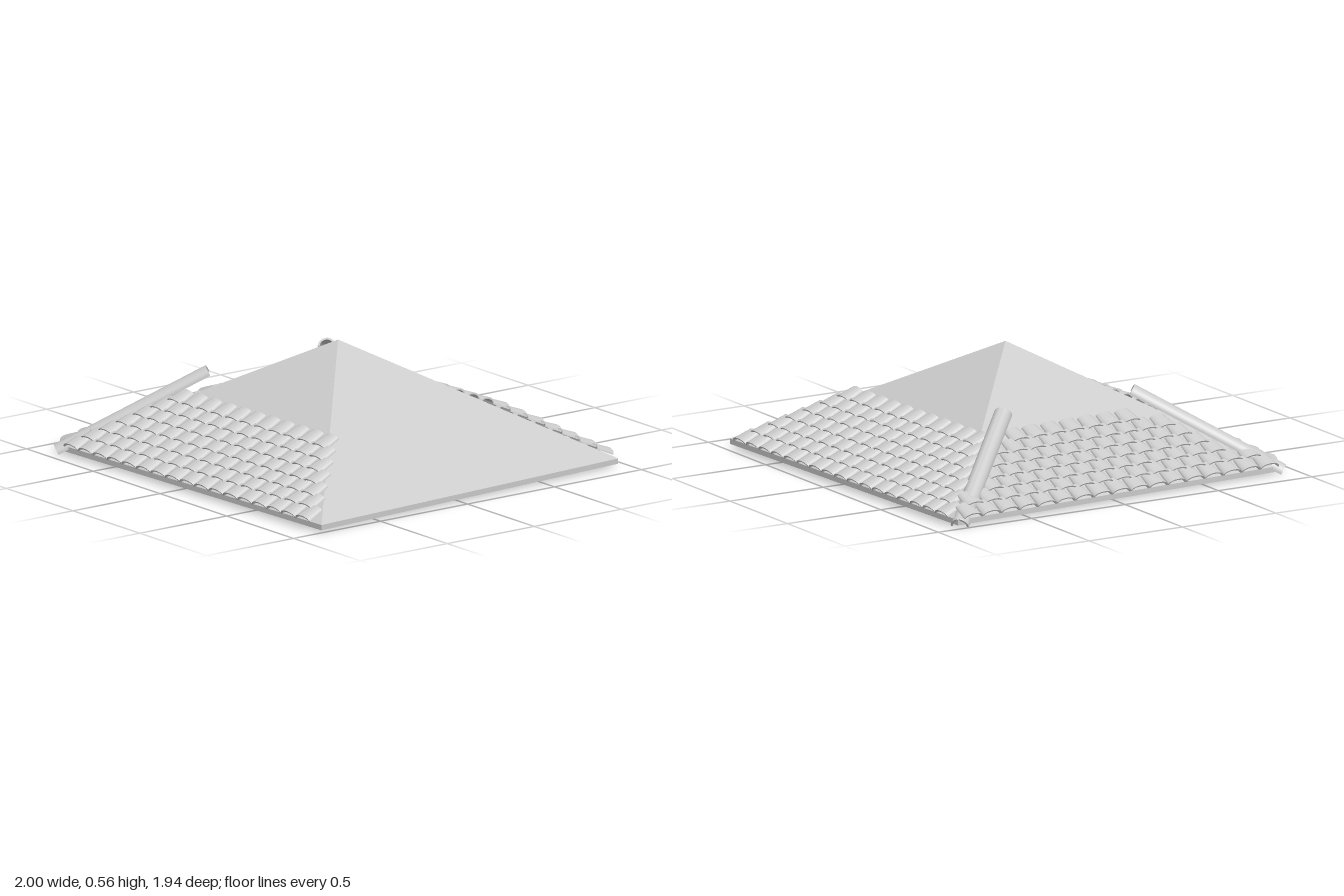
import * as THREE from 'three';
import { mergeGeometries, toCreasedNormals } from 'three/addons/utils/BufferGeometryUtils.js';

const V = (x, y, z) => new THREE.Vector3(x, y, z);
const material = new THREE.MeshStandardMaterial({ color: 0xcccccc, side: THREE.DoubleSide });

const EAVE = 0.04;
const APEX = V(0, 0.565, -0.024);
// Base corners of the slightly turned roof: front left, front right, back right, back left as seen from above
const CORNERS = [[-0.87, 0.915], [0.997, 0.837], [0.885, -0.955], [-0.975, -0.88]];
const corner = (i) => V(CORNERS[i][0], EAVE, CORNERS[i][1]);

function addMesh(group, name, geometry) {
  const mesh = new THREE.Mesh(geometry, material);
  mesh.name = name;
  group.add(mesh);
  return mesh;
}

// Hollow pyramid: rings run from the apex down the outside, across the soffit and up the inside
function roofShell() {
  const ring = (scale, y) => CORNERS.map(([x, z]) =>
    V(x * scale, y, APEX.z + (z - APEX.z) * scale));
  const rings = [
    ring(0, APEX.y), ring(1, EAVE), ring(1, 0.015),
    ring(0.91, 0.015), ring(0.91, 0.04), ring(0, 0.51),
  ];
  const points = [];
  for (let r = 0; r < rings.length - 1; r++) {
    const a = rings[r], b = rings[r + 1];
    for (let i = 0; i < 4; i++) {
      const j = (i + 1) % 4;
      if (r < rings.length - 2) points.push(a[i], b[i], b[j]);
      if (r > 0) points.push(a[i], b[j], a[j]);
    }
  }
  const geometry = new THREE.BufferGeometry().setFromPoints(points);
  geometry.computeVertexNormals();
  return geometry;
}

// Half-pipe along z, open below; the upper end (z = 0) can be narrower and lower
function halfPipe(halfWidth, height, thickness, length, taper = 1, lift = 0) {
  const shape = new THREE.Shape();
  shape.absellipse(0, 0, halfWidth, height, 0, Math.PI, false);
  shape.lineTo(-halfWidth + thickness, 0);
  shape.absellipse(0, 0, halfWidth - thickness, height - thickness, Math.PI, 0, true);
  shape.closePath();
  const geometry = new THREE.ExtrudeGeometry(shape, { depth: length, bevelEnabled: false, curveSegments: 10 });
  const p = geometry.attributes.position;
  for (let i = 0; i < p.count; i++) {
    const f = p.getZ(i) / length;
    const s = taper + (1 - taper) * f;
    p.setXY(i, p.getX(i) * s, p.getY(i) * s + lift * f);
  }
  geometry.deleteAttribute('uv');
  return toCreasedNormals(geometry, 0.75);
}

// Staggered rows of barrel tiles on the face above the eave from a to b
function tiledFace(a, b, counts) {
  const width = 0.103, pitch = 0.07, length = 0.092;
  const tile = halfPipe(width / 2, 0.028, 0.007, length, 0.8, 0.011);
  const across = b.clone().sub(a).normalize();
  const middle = a.clone().add(b).multiplyScalar(0.5);
  const rise = APEX.clone().sub(middle);
  const up = rise.clone().addScaledVector(across, -rise.dot(across)).normalize();
  const down = up.clone().negate();
  const normal = down.clone().cross(across);
  const parts = [];
  counts.forEach((count, row) => {
    const top = row * pitch + length - 0.012;
    const center = middle.clone().addScaledVector(rise, top / rise.length());
    for (let k = 0; k < count; k++) {
      const p = center.clone().addScaledVector(across, (k - (count - 1) / 2) * width);
      const matrix = new THREE.Matrix4().makeBasis(across, normal, down).setPosition(p);
      parts.push(tile.clone().applyMatrix4(matrix));
    }
  });
  return mergeGeometries(parts);
}

// Long cap running from its upper end down to its lower end
function hipCap(upper, lower) {
  const down = lower.clone().sub(upper);
  const geometry = halfPipe(0.043, 0.043, 0.009, down.length());
  down.normalize();
  const side = V(0, 1, 0).cross(down).normalize();
  const normal = down.clone().cross(side);
  return geometry.applyMatrix4(new THREE.Matrix4().makeBasis(side, normal, down).setPosition(upper));
}

export function createModel() {
  const model = new THREE.Group();
  model.name = 'tiledHipRoof';
  addMesh(model, 'roofShell', roofShell());

  // Tiles on three faces; the right face stays bare
  const fullRows = [17, 16, 15, 14, 13, 12, 11];
  const leftRows = [17, 16, 13, 12, 11, 10, 7];
  addMesh(model, 'frontTiles', tiledFace(corner(0), corner(1), fullRows));
  addMesh(model, 'backTiles', tiledFace(corner(2), corner(3), fullRows));
  addMesh(model, 'sideTiles', tiledFace(corner(3), corner(0), leftRows));

  // Caps over the two hips beside the tiled side face
  addMesh(model, 'backHipCap', hipCap(V(-0.51, 0.37, -0.35), V(-0.96, 0.004, -0.86)));
  addMesh(model, 'frontHipCap', hipCap(V(-0.46, 0.37, 0.36), V(-0.86, 0.004, 0.925)));
  return model;
}
